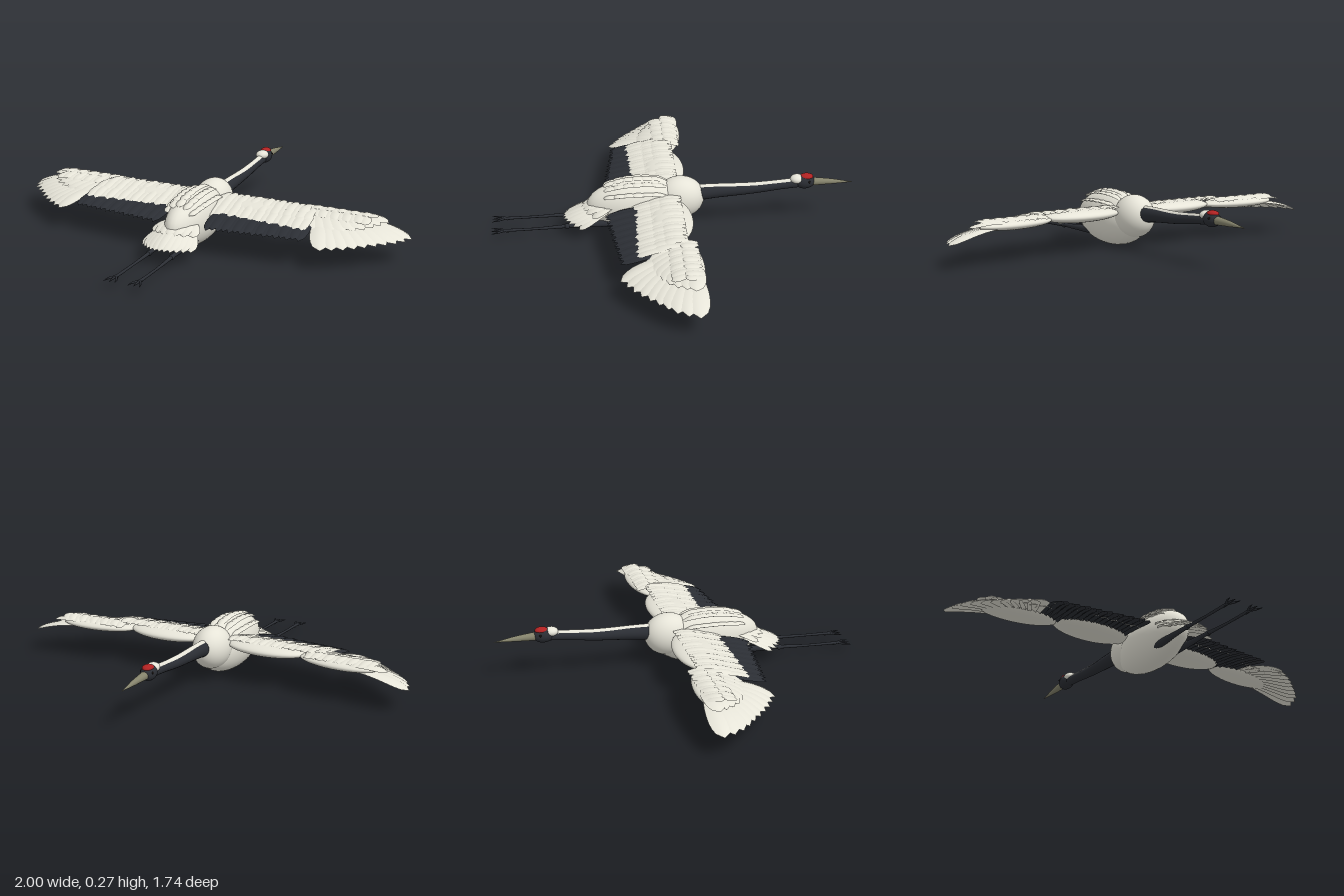
import * as THREE from 'three';
import { mergeGeometries } from 'three/addons/utils/BufferGeometryUtils.js';

const mat = (color, side = THREE.FrontSide) => new THREE.MeshStandardMaterial({ color, side });
const V = (x, y, z) => new THREE.Vector3(x, y, z);
const lerp = THREE.MathUtils.lerp;

export function createModel() {
  const model = new THREE.Group();
  const white = mat(0xe6e4d8), black = mat(0x2b2e34), red = mat(0xb02222), horn = mat(0x85836c);
  const whiteFeather = mat(0xe6e4d8, THREE.DoubleSide), blackFeather = mat(0x2b2e34, THREE.DoubleSide);

  const add = (name, geo, material, parent = model) => {
    const mesh = new THREE.Mesh(geo, material);
    mesh.name = name;
    parent.add(mesh);
    return mesh;
  };
  const ellipsoid = (name, c, r, material, parent) => {
    const mesh = add(name, new THREE.SphereGeometry(1, 32, 20), material, parent);
    mesh.position.set(...c);
    mesh.scale.set(...r);
    return mesh;
  };

  // Tube whose radius follows a list of values along its path
  const taperTube = (points, radii, segs = 24, sides = 16) => {
    const curve = new THREE.CatmullRomCurve3(points);
    const geo = new THREE.TubeGeometry(curve, segs, 1, sides);
    const p = geo.attributes.position, v = V(0, 0, 0);
    for (let i = 0; i < p.count; i++) {
      const t = Math.floor(i / (sides + 1)) / segs, c = curve.getPointAt(t);
      const k = t * (radii.length - 1), j = Math.min(Math.floor(k), radii.length - 2);
      v.fromBufferAttribute(p, i).sub(c).multiplyScalar(lerp(radii[j], radii[j + 1], k - j)).add(c);
      p.setXYZ(i, v.x, v.y, v.z);
    }
    return geo;
  };

  // Cambered blade from root to tip, with a pointed round end
  const feather = (root, tip, width, camber = 0.12) => {
    const geo = new THREE.PlaneGeometry(1, 1, 4, 10).rotateX(-Math.PI / 2);
    const p = geo.attributes.position, length = root.distanceTo(tip);
    for (let i = 0; i < p.count; i++) {
      const u = p.getX(i) * 2, t = 0.5 - p.getZ(i);
      const w = (0.45 + 0.55 * Math.sin(Math.min(t / 0.65, 1) * Math.PI / 2)) *
        (t > 0.65 ? Math.sqrt(Math.max(0, 1 - ((t - 0.65) / 0.35) ** 2)) : 1);
      p.setXYZ(i, u * w * width / 2, camber * width * (w - u * u * w) + 0.05 * length * Math.sin(t * Math.PI), -t * length);
    }
    const d = tip.clone().sub(root).normalize();
    const side = d.clone().cross(V(0, 1, 0)).normalize();
    const up = side.clone().cross(d);
    geo.applyMatrix4(new THREE.Matrix4().makeBasis(side, up, d.negate()).setPosition(root));
    geo.computeVertexNormals();
    return geo;
  };
  // Row of feathers; at(t) gives [root, tip, width]
  const featherRow = (name, count, material, parent, at) =>
    add(name, mergeGeometries(Array.from({ length: count }, (_, i) => feather(...at(i / (count - 1), i)))), material, parent);

  // Body and chest
  ellipsoid('body', [0, 0.13, 0.155], [0.1, 0.13, 0.26], white);
  ellipsoid('chest', [0, 0.16, -0.035], [0.09, 0.103, 0.115], white);

  // Feathers lying along the back
  const bodyPoint = (a, z, lift) => {
    const k = Math.sqrt(Math.max(0, 1 - ((z - 0.155) / 0.26) ** 2));
    return V(Math.sin(a) * 0.1 * k, 0.13 + Math.cos(a) * 0.13 * k + lift, z);
  };
  for (const a of [-0.9, -0.45, 0, 0.45, 0.9]) {
    featherRow('backFeathers', 6, whiteFeather, model, (t) => {
      const z = lerp(0.03, 0.25, t);
      return [bodyPoint(a, z, -0.002), bodyPoint(a, z + 0.085, 0.004), 0.045, 0.2];
    });
  }

  // Neck with a pale stripe along its upper side
  add('neck', taperTube(
    [V(0, 0.175, -0.09), V(0, 0.183, -0.2), V(0, 0.19, -0.38), V(0, 0.203, -0.52), V(0, 0.213, -0.63)],
    [0.04, 0.034, 0.029, 0.025, 0.022, 0.022]), black);
  add('napeStripe', taperTube(
    [V(0, 0.197, -0.09), V(0, 0.201, -0.2), V(0, 0.204, -0.38), V(0, 0.215, -0.52), V(0, 0.226, -0.62)],
    [0.022, 0.019, 0.017, 0.015, 0.014]), white);

  // Head
  ellipsoid('head', [0, 0.218, -0.635], [0.034, 0.036, 0.05], black);
  ellipsoid('nape', [0, 0.232, -0.598], [0.031, 0.022, 0.034], white);
  ellipsoid('crown', [0, 0.243, -0.643], [0.025, 0.015, 0.032], red);
  add('beak', taperTube([V(0, 0.216, -0.66), V(0, 0.212, -0.76), V(0, 0.205, -0.87)], [0.021, 0.013, 0.0005]), horn);
  for (const s of [1, -1]) ellipsoid('eye', [s * 0.029, 0.226, -0.653], [0.006, 0.006, 0.006], mat(0x15110f));

  // Tail fan in two layers
  featherRow('tailFeathers', 11, whiteFeather, model, (t) => {
    const a = (t - 0.5) * 2;
    return [V(a * 0.045, 0.15 - Math.abs(a) * 0.02, 0.29),
      V(a * 0.125, 0.075 - a * a * 0.01, 0.53 - a * a * 0.075), 0.065];
  });
  featherRow('tailCoverts', 7, whiteFeather, model, (t) => {
    const a = (t - 0.5) * 2;
    return [V(a * 0.05, 0.17 - Math.abs(a) * 0.02, 0.28),
      V(a * 0.105, 0.125 - a * a * 0.012, 0.44 - a * a * 0.05), 0.06];
  });

  for (const s of [1, -1]) {
    const wing = new THREE.Group();
    wing.name = s > 0 ? 'leftWing' : 'rightWing';
    model.add(wing);
    const P = (x, y, z) => V(s * x, y, z);

    // Fleshy arm and hand of the wing
    ellipsoid('wingArm', [s * 0.265, 0.178, 0.025], [0.205, 0.032, 0.098], white, wing);
    ellipsoid('wingHand', [s * 0.64, 0.175, -0.008], [0.2, 0.026, 0.076], white, wing).rotation.y = s * 0.1;

    // Dark trailing feathers
    featherRow('secondaries', 17, blackFeather, wing, (t, i) => {
      const x = lerp(0.13, 0.565, t);
      return [P(x * 0.96, 0.165, 0.03), P(x + 0.008, 0.135 + (i % 2) * 0.004, lerp(0.335, 0.28, t)), 0.06];
    });

    // Fan at the wing tip
    const tips = new THREE.CatmullRomCurve3([
      P(0.68, 0.108, 0.285), P(0.78, 0.108, 0.225), P(0.88, 0.11, 0.135), P(0.97, 0.11, 0.04), P(1, 0.108, -0.04)]);
    featherRow('primaries', 10, whiteFeather, wing, (t) =>
      [P(lerp(0.58, 0.72, t), 0.168, lerp(0.03, -0.04, t)), tips.getPointAt(t), 0.095]);
    const covertTips = new THREE.CatmullRomCurve3([
      P(0.6, 0.15, 0.165), P(0.72, 0.155, 0.13), P(0.82, 0.163, 0.07), P(0.89, 0.175, -0.03)]);
    featherRow('primaryCoverts', 9, whiteFeather, wing, (t) =>
      [P(lerp(0.52, 0.7, t), 0.185, lerp(0.0, -0.055, t)), covertTips.getPointAt(t), 0.08]);

    // Overlapping pale rows: start x, end x, root z, tip z, root y, tip y, outward lean
    const rows = [
      ['greaterCoverts', 15, 0.09, 0.545, 0.03, 0.21, 0.19, 0.158, 0.008],
      ['medianCoverts', 15, 0.09, 0.535, 0.0, 0.14, 0.2, 0.178, 0.008],
      ['lesserCoverts', 14, 0.09, 0.5, -0.03, 0.085, 0.203, 0.195, 0.008],
      ['handCoverts', 11, 0.49, 0.78, -0.03, 0.07, 0.195, 0.182, 0.03],
      ['handEdgeCoverts', 11, 0.5, 0.8, -0.07, 0.01, 0.19, 0.2, 0.025],
    ];
    for (const [name, n, x0, x1, z0, z1, y0, y1, lean] of rows) {
      featherRow(name, n, whiteFeather, wing, (t, i) => {
        const x = lerp(x0, x1, t), dy = (i % 2) * 0.003;
        return [P(x, y0 + dy, z0), P(x + lean, y1 + dy, z1), 0.055];
      });
    }

    // Trailing leg with joint and spread toes
    const leg = new THREE.Group();
    leg.name = s > 0 ? 'leftLeg' : 'rightLeg';
    model.add(leg);
    add('thigh', taperTube([P(0.05, 0.06, 0.26), P(0.056, 0.057, 0.38), P(0.058, 0.054, 0.51)], [0.02, 0.014, 0.009]), black, leg);
    ellipsoid('joint', [s * 0.058, 0.053, 0.51], [0.013, 0.013, 0.014], black, leg);
    add('shank', taperTube([P(0.058, 0.053, 0.51), P(0.06, 0.046, 0.66), P(0.06, 0.043, 0.81)], [0.009, 0.006, 0.007]), black, leg);
    ellipsoid('foot', [s * 0.06, 0.043, 0.81], [0.009, 0.008, 0.012], black, leg);
    for (const k of [-1, 0, 1]) {
      add('toe', taperTube([P(0.06, 0.043, 0.808), P(0.06 + k * 0.018, 0.043, 0.835), P(0.06 + k * 0.028, 0.04, 0.87)],
        [0.006, 0.005, 0.001], 8, 8), black, leg);
    }
    add('hindToe', taperTube([P(0.06, 0.043, 0.81), P(0.06, 0.037, 0.8), P(0.06, 0.034, 0.785)], [0.005, 0.004, 0.001], 6, 8), black, leg);
  }
  return model;
}
